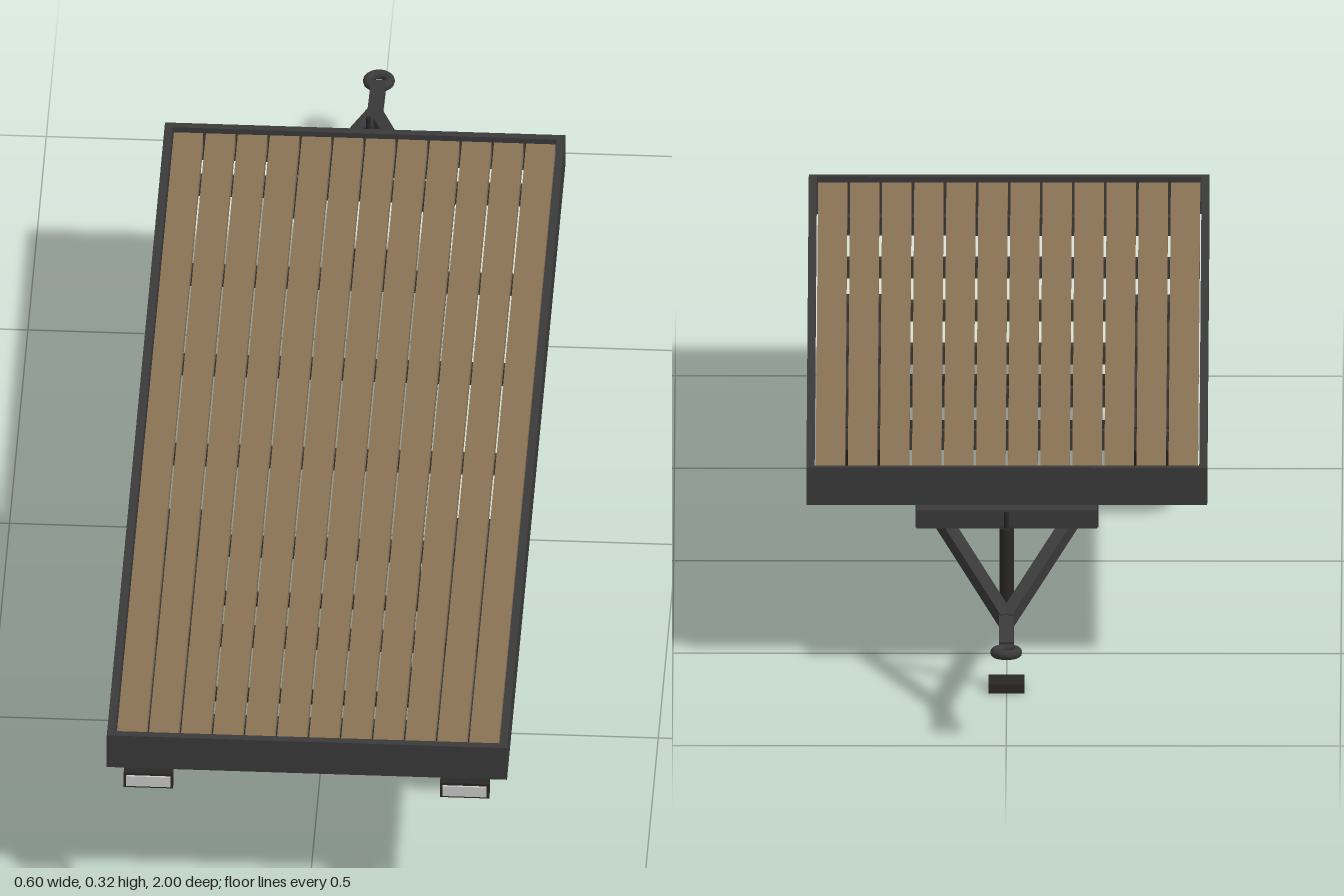
import * as THREE from 'three';
import { toCreasedNormals } from 'three/addons/utils/BufferGeometryUtils.js';

const mat = (color, side = THREE.FrontSide) => new THREE.MeshStandardMaterial({ color, side });
const steel = mat(0x3a3a3a);
const black = mat(0x2a2826);
const rubber = mat(0x24221f);
const wood = mat(0x8b7355);
const rimGrey = mat(0x8a8a85);
const lensWhite = mat(0xcccccc);

export function createModel() {
  const model = new THREE.Group();
  model.name = 'flatbedTrailer';

  const add = (name, geometry, material, x = 0, y = 0, z = 0, parent = model) => {
    const mesh = new THREE.Mesh(geometry, material);
    mesh.name = name;
    mesh.position.set(x, y, z);
    parent.add(mesh);
    return mesh;
  };
  // Box given by its limits on each axis
  const box = (name, material, x0, x1, y0, y1, z0, z1) =>
    add(name, new THREE.BoxGeometry(x1 - x0, y1 - y0, z1 - z0), material,
      (x0 + x1) / 2, (y0 + y1) / 2, (z0 + z1) / 2);
  // Square bar between two points
  const bar = (name, a, b, w, h) => {
    const from = new THREE.Vector3(...a), to = new THREE.Vector3(...b);
    const mesh = add(name, new THREE.BoxGeometry(w, h, from.distanceTo(to)), steel);
    mesh.position.copy(from).lerp(to, 0.5);
    mesh.lookAt(to);
  };
  const lathe = (points, segments = 40) => {
    const g = new THREE.LatheGeometry(points.map(p => new THREE.Vector2(...p)), segments);
    g.rotateZ(-Math.PI / 2);
    return toCreasedNormals(g, 0.6);
  };

  // Deck rim
  for (const s of [-1, 1]) {
    const x = s * 0.294;
    box('sideRim', steel, x - 0.006, x + 0.006, 0.26, 0.318, -0.6, 0.985);
  }
  box('frontRim', steel, -0.288, 0.288, 0.26, 0.318, 0.973, 0.985);
  box('backRim', steel, -0.288, 0.288, 0.26, 0.318, -0.6, -0.588);

  // Deck planks with narrow gaps
  const planks = 12, pitch = 0.576 / planks;
  for (let i = 0; i < planks; i++) {
    const x = -0.288 + pitch * (i + 0.5);
    box('plank', wood, x - pitch / 2 + 0.002, x + pitch / 2 - 0.002, 0.284, 0.309, -0.588, 0.973);
  }

  // Crossmembers and main rails
  for (let i = 0; i < 7; i++) {
    const z = -0.51 + i * 0.232;
    box('crossmember', steel, -0.286, 0.286, 0.255, 0.284, z - 0.009, z + 0.009);
  }
  for (const s of [-1, 1]) {
    const x = s * 0.125;
    box('mainRail', steel, x - 0.012, x + 0.012, 0.216, 0.258, -0.57, 0.91);
  }

  // Drawbar: crossbar, two converging arms, tongue and towing eye
  box('hitchCrossbar', steel, -0.135, 0.135, 0.232, 0.26, -0.63, -0.595);
  for (const s of [-1, 1]) {
    bar('drawbarArm', [s * 0.112, 0.232, -0.5], [0, 0.156, -0.865], 0.02, 0.022);
  }
  bar('tongue', [0, 0.158, -0.85], [0, 0.141, -0.96], 0.022, 0.02);
  const eye = add('towingEye', new THREE.TorusGeometry(0.0165, 0.0075, 12, 28), steel, 0, 0.139, -0.976);
  eye.rotation.x = Math.PI / 2;

  // Parking jack with crank and foot
  add('jackLeg', new THREE.CylinderGeometry(0.011, 0.011, 0.2, 16), black, 0, 0.15, -0.69);
  add('jackCrank', new THREE.CylinderGeometry(0.004, 0.004, 0.03, 10), black, 0, 0.26, -0.69);
  box('jackFoot', black, -0.027, 0.027, 0, 0.014, -0.717, -0.663);

  // Lights under the front edge
  for (const s of [-1, 1]) {
    const x = s * 0.237;
    box('lightHousing', black, x - 0.037, x + 0.037, 0.233, 0.259, 0.982, 0.997);
    box('lightLens', lensWhite, x - 0.033, x + 0.033, 0.237, 0.255, 0.99, 1.0);
  }

  // Tyre with a centre groove and rounded shoulders
  const tyreGeo = lathe([
    [0.066, -0.03], [0.082, -0.036], [0.098, -0.036], [0.106, -0.032], [0.11, -0.022], [0.11, -0.005],
    [0.104, -0.002], [0.104, 0.002], [0.11, 0.005], [0.11, 0.022], [0.106, 0.032], [0.098, 0.036],
    [0.082, 0.036], [0.066, 0.03], [0.066, -0.03]]);
  // Dished rim with a raised hub
  const rimGeo = lathe([
    [0, -0.018], [0.05, -0.018], [0.058, -0.032], [0.067, -0.032], [0.067, 0.032], [0.058, 0.032],
    [0.05, 0.018], [0.023, 0.022], [0.021, 0.032], [0, 0.032]]);
  const axleGeo = new THREE.CylinderGeometry(0.0115, 0.0115, 0.4, 16).rotateZ(Math.PI / 2);

  // Arched mudguard over one wheel
  const arch = new THREE.Shape();
  const start = 0.29;
  arch.absarc(0, 0, 0.131, start, Math.PI - start, false);
  arch.absarc(0, 0, 0.125, Math.PI - start, start, true);
  arch.closePath();
  const fenderGeo = toCreasedNormals(
    new THREE.ExtrudeGeometry(arch, { depth: 0.097, bevelEnabled: false, curveSegments: 24 })
      .translate(0, 0, -0.0485).rotateY(Math.PI / 2), 0.6);

  // Tandem axles
  for (const z of [0.58, 0.332]) {
    add('axle', axleGeo, black, 0, 0.112, z);
    for (const s of [-1, 1]) {
      const wheel = new THREE.Group();
      wheel.name = 'wheel';
      wheel.position.set(s * 0.214, 0.11, z);
      wheel.rotation.y = s > 0 ? 0 : Math.PI;
      add('tyre', tyreGeo, rubber, 0, 0, 0, wheel);
      add('rim', rimGeo, rimGrey, 0, 0, 0, wheel);
      model.add(wheel);
      add('mudguard', fenderGeo, steel, s * 0.2165, 0.112, z);
      const x = s * 0.125;
      box('axleHanger', steel, x - 0.009, x + 0.009, 0.157, 0.217, z - 0.015, z + 0.015);
      box('springPad', steel, x - 0.009, x + 0.009, 0.138, 0.152, z - 0.03, z + 0.03);
    }
  }

  return model;
}
